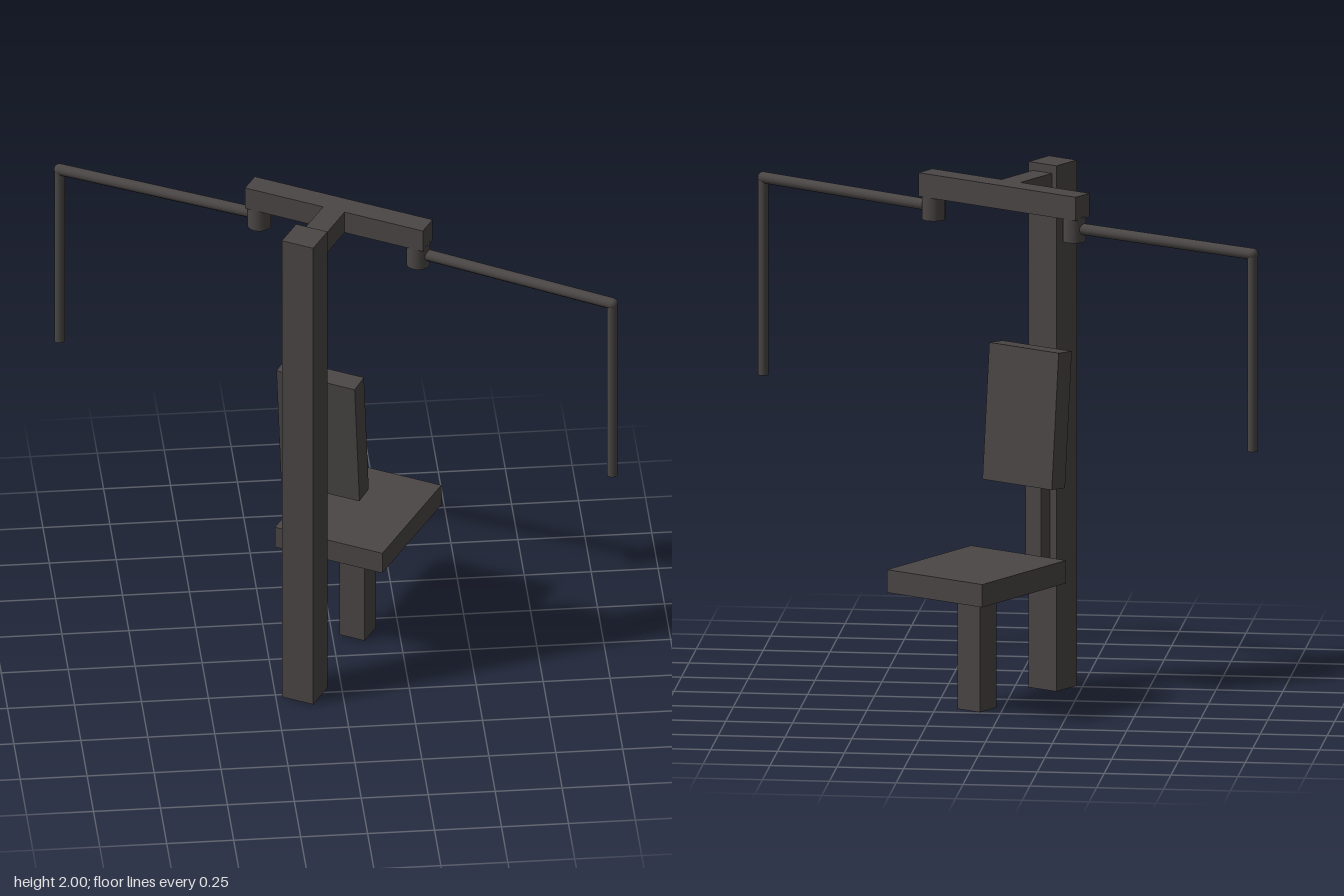
import * as THREE from 'three';

export function createModel() {
  const model = new THREE.Group();
  model.name = 'exerciseMachine';
  // the whole machine stands turned on its base
  const frame = new THREE.Group();
  frame.name = 'frame';
  frame.rotation.y = -Math.PI / 6;
  model.add(frame);

  const steel = new THREE.MeshStandardMaterial({ color: 0x4a4645 });
  steel.name = 'dark grey';

  const add = (name, geometry, x, y, z) => {
    const mesh = new THREE.Mesh(geometry, steel);
    mesh.name = name;
    mesh.position.set(x, y, z);
    frame.add(mesh);
    return mesh;
  };
  const box = (name, w, h, d, x, y, z) => add(name, new THREE.BoxGeometry(w, h, d), x, y, z);

  // round bar between two points
  const bar = (name, a, b, r) => {
    const dir = b.clone().sub(a);
    const mid = a.clone().add(b).multiplyScalar(0.5);
    const mesh = add(name, new THREE.CylinderGeometry(r, r, dir.length(), 12), mid.x, mid.y, mid.z);
    mesh.quaternion.setFromUnitVectors(new THREE.Vector3(0, 1, 0), dir.normalize());
  };

  // upright, top bracket and crossbar
  box('post', 0.128, 2, 0.128, 0, 1, 0.28);
  box('topBracket', 0.088, 0.09, 0.24, 0, 1.924, 0.1);
  box('crossbar', 0.727, 0.09, 0.088, 0, 1.924, -0.025);

  // seat and its leg
  box('seat', 0.44, 0.087, 0.526, 0, 0.502, -0.197);
  box('seatLeg', 0.103, 0.46, 0.103, 0, 0.23, -0.194);

  // leaning backrest on a narrow rail
  box('backrest', 0.32, 0.515, 0.083, 0, 1.06, 0.12).rotation.x = 0.083;
  box('backrestRail', 0.07, 0.74, 0.06, 0, 0.81, 0.188);

  // swinging arms: pivot, reach, elbow and hanging handle
  for (const side of [1, -1]) {
    const pivot = new THREE.Vector3(side * 0.325, 1.84, -0.025);
    const elbow = new THREE.Vector3(side * 1.13, 1.84, 0);
    const grip = new THREE.Vector3(side * 1.13, 1.09, 0);
    add('armPivot', new THREE.CylinderGeometry(0.044, 0.044, 0.095, 20), pivot.x, 1.838, pivot.z);
    bar('armBar', pivot, elbow, 0.022);
    add('armElbow', new THREE.SphereGeometry(0.022, 12, 8), elbow.x, elbow.y, elbow.z);
    bar('handle', elbow, grip, 0.02);
  }
  return model;
}
